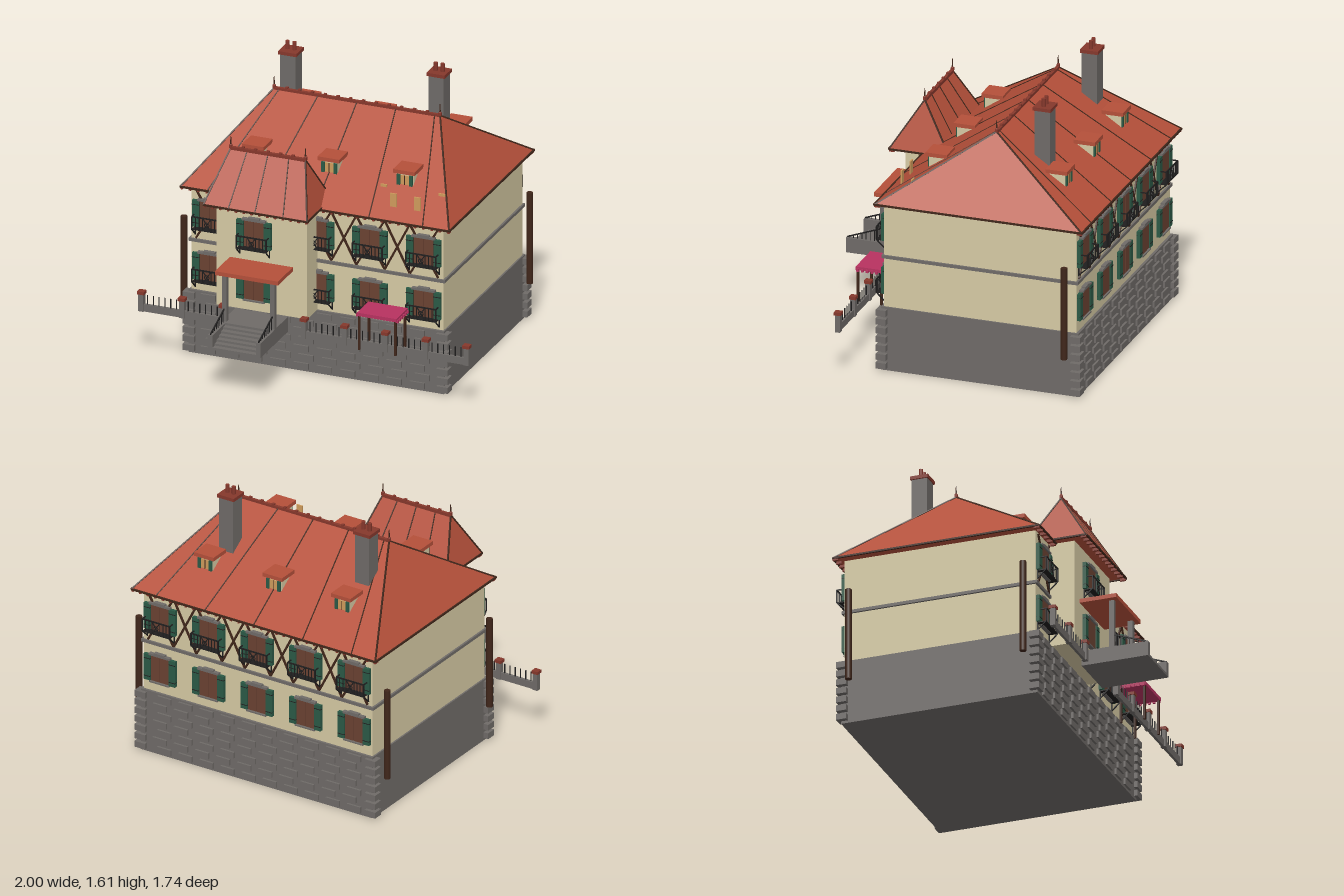
import * as THREE from 'three';
import { ConvexGeometry } from 'three/addons/geometries/ConvexGeometry.js';

const paint = (name, color) => {
  const m = new THREE.MeshStandardMaterial({ color });
  m.name = name;
  return m;
};
const RED = paint('roof red', 0xb5503a), CREAM = paint('cream plaster', 0xd6caa4), GREY = paint('grey stone', 0x6f6b68),
  GREEN = paint('shutter green', 0x2b5a46), TIMBER = paint('dark timber', 0x40261a), PANE = paint('brown window', 0x6b4232),
  IRON = paint('black iron', 0x1f1e1e), PINK = paint('pink cloth', 0xb83260), TAN = paint('tan', 0xd09c5c),
  BRICK = paint('dark red', 0x86382c);

const V = (x, y, z) => new THREE.Vector3(x, y, z);
const UP = V(0, 1, 0);

function add(parent, name, geo, mat, x = 0, y = 0, z = 0) {
  const m = new THREE.Mesh(geo, mat);
  m.name = name;
  m.position.set(x, y, z);
  parent.add(m);
  return m;
}
// Box given by its ranges
function box(parent, name, mat, x0, x1, y0, y1, z0, z1) {
  return add(parent, name, new THREE.BoxGeometry(x1 - x0, y1 - y0, z1 - z0), mat, (x0 + x1) / 2, (y0 + y1) / 2, (z0 + z1) / 2);
}
// Square bar between two points
function bar(parent, name, mat, a, b, w, d = w) {
  const dir = b.clone().sub(a), mid = a.clone().add(b).multiplyScalar(0.5);
  const m = add(parent, name, new THREE.BoxGeometry(w, dir.length(), d), mat, mid.x, mid.y, mid.z);
  m.quaternion.setFromUnitVectors(UP, dir.normalize());
}
function group(parent, name, x = 0, y = 0, z = 0) {
  const g = new THREE.Group();
  g.name = name;
  g.position.set(x, y, z);
  parent.add(g);
  return g;
}

// Hipped roof with seams, ridge knobs, finials and eave blocks
function hipRoof(parent, name, e, r, seams) {
  const g = group(parent, name);
  const corners = [[e.x0, e.z0], [e.x1, e.z0], [e.x1, e.z1], [e.x0, e.z1]].map(([x, z]) => V(x, e.y, z));
  const ends = [V(r.x0, r.y, r.z), V(r.x1, r.y, r.z)];
  add(g, 'roofSlopes', new ConvexGeometry([...corners, ...ends]), RED);
  corners.forEach((c, i) => {
    bar(g, 'hipSeam', TIMBER, c, ends[i === 0 || i === 3 ? 0 : 1], 0.008);
    bar(g, 'eaveTrim', TIMBER, c, corners[(i + 1) % 4], 0.01);
  });
  for (const [xe, xr] of seams) for (const z of [e.z0, e.z1])
    bar(g, 'roofSeam', TIMBER, V(xe, e.y, z), V(xr, r.y, r.z), 0.006);
  bar(g, 'ridge', BRICK, ends[0], ends[1], 0.018);
  const knobs = Math.round((r.x1 - r.x0) / 0.077);
  for (let i = 0; i <= knobs; i++)
    box(g, 'ridgeKnob', BRICK, ...[-0.008, 0.008].map(d => r.x0 + (r.x1 - r.x0) * i / knobs + d), r.y, r.y + 0.018, r.z - 0.008, r.z + 0.008);
  for (const p of ends) {
    add(g, 'finial', new THREE.CylinderGeometry(0.002, 0.006, 0.07, 6), TIMBER, p.x, p.y + 0.035, p.z);
    add(g, 'finialBall', new THREE.SphereGeometry(0.009, 8, 6), BRICK, p.x, p.y + 0.016, p.z);
  }
  const n = Math.round((e.x1 - e.x0) / 0.05);
  for (let i = 0; i <= n; i++) for (const [z, s] of [[e.z0, 1], [e.z1, -1]]) {
    const x = e.x0 + 0.006 + (e.x1 - e.x0 - 0.012) * i / n;
    box(g, 'eaveBlock', BRICK, x - 0.006, x + 0.006, e.y - 0.015, e.y, z + s * 0.016 - 0.016, z + s * 0.016 + 0.016);
  }
}

// Shuttered window facing +z, centred on its origin
function shutteredWindow(parent, x, y, z) {
  const g = group(parent, 'window', x, y, z);
  box(g, 'windowFrame', TIMBER, -0.064, 0.064, -0.084, 0.084, 0, 0.01);
  for (const s of [-1, 1]) {
    box(g, 'windowPane', PANE, s * 0.03 - 0.028, s * 0.03 + 0.028, -0.078, 0.078, 0, 0.015);
    box(g, 'shutter', GREEN, s * 0.083 - 0.021, s * 0.083 + 0.021, -0.08, 0.08, 0, 0.02);
    for (const k of [-1, 1]) box(g, 'shutterBatten', IRON, s * 0.083 - 0.021, s * 0.083 + 0.021, k * 0.055 - 0.002, k * 0.055 + 0.002, 0, 0.022);
  }
  box(g, 'lintel', GREY, -0.07, 0.07, 0.08, 0.092, 0, 0.024);
  box(g, 'keystone', GREY, -0.035, 0.035, 0.09, 0.1, 0, 0.024);
  box(g, 'sill', GREY, -0.065, 0.065, -0.088, -0.08, 0, 0.024);
  return g;
}

// Iron balcony added to a window group
function balcony(win) {
  const g = group(win, 'balcony'), w = 0.09, d = 0.054, lo = -0.082, hi = -0.005;
  box(g, 'balconyFloor', IRON, -w, w, lo - 0.003, lo + 0.003, 0, d);
  for (const s of [-1, 1]) {
    bar(g, 'sideRail', IRON, V(s * w, hi, 0), V(s * w, hi, d), 0.006);
    bar(g, 'bracket', IRON, V(s * w, lo, d), V(s * w, lo - 0.05, 0), 0.006);
    bar(g, 'bracketFoot', IRON, V(s * w, lo, 0.004), V(s * w, lo - 0.05, 0.004), 0.006);
    bar(g, 'scroll', IRON, V(s * 0.025, lo, d), V(-s * 0.025, hi, d), 0.005);
  }
  bar(g, 'topRail', IRON, V(-w, hi, d), V(w, hi, d), 0.007);
  for (const x of [-w, -0.068, -0.047, -0.026, 0.026, 0.047, 0.068, w])
    bar(g, 'baluster', IRON, V(x, lo, d), V(x, hi, d), Math.abs(x) === w ? 0.007 : 0.004);
  add(g, 'rosette', new THREE.TorusGeometry(0.014, 0.003, 4, 10), IRON, 0, (lo + hi) / 2, d);
}

function dormer(parent, x, z, turn) {
  const g = group(parent, 'dormer', x, 0, z);
  g.rotation.y = turn;
  box(g, 'dormerBody', CREAM, -0.05, 0.05, 1.08, 1.212, -0.06, 0.045);
  box(g, 'dormerRoof', RED, -0.065, 0.065, 1.212, 1.235, -0.065, 0.062);
  box(g, 'dormerWindow', TAN, -0.026, 0.026, 1.145, 1.2, 0.045, 0.05);
  box(g, 'dormerMullion', TIMBER, -0.002, 0.002, 1.145, 1.2, 0.045, 0.053);
  for (const s of [-1, 1]) box(g, 'dormerShutter', GREEN, s * 0.037 - 0.01, s * 0.037 + 0.01, 1.14, 1.203, 0.045, 0.054);
}

export function createModel() {
  const house = new THREE.Group();
  house.name = 'house';

  // Stone base with corner blocks and raised stones front and back
  box(house, 'foundation', GREY, -0.77, 0.77, 0, 0.38, -0.835, 0.335);
  const base = group(house, 'baseStones');
  for (let row = 0; row < 7; row++) {
    const y = 0.015 + row * 0.053, odd = row % 2;
    for (const [z, s] of [[0.335, 1], [-0.835, -1]]) {
      for (const sx of [-1, 1])
        box(base, 'cornerStone', GREY, sx * 0.765 - 0.035, sx * 0.765 + 0.035, y, y + 0.036, z - s * 0.01 - 0.03, z - s * 0.01 + 0.03);
      for (let i = 0; i < 10; i++) {
        const x = -0.65 + i * 0.14 + odd * 0.03;
        box(base, 'wallStone', GREY, x - 0.045, x + 0.045, y, y + 0.036, z - 0.012, z + 0.012);
      }
    }
  }

  // Walls, projecting bay and belt course
  box(house, 'walls', CREAM, -0.76, 0.76, 0.38, 1.0, -0.82, 0.32);
  box(house, 'bayWalls', CREAM, -0.545, 0, 0.38, 1.005, 0.3, 0.47);
  box(house, 'beltFront', GREY, 0, 0.77, 0.672, 0.69, 0.31, 0.332);
  box(house, 'beltFrontLeft', GREY, -0.77, -0.545, 0.672, 0.69, 0.31, 0.332);
  box(house, 'beltBack', GREY, -0.77, 0.77, 0.672, 0.69, -0.832, -0.81);
  for (const s of [-1, 1]) box(house, 'beltSide', GREY, s * 0.765 - 0.007, s * 0.765 + 0.007, 0.672, 0.69, -0.83, 0.33);

  // Roofs
  const seams = [-2, -1, 0, 1, 2].map(i => [i * 0.325, i * 0.234]);
  hipRoof(house, 'mainRoof', { x0: -0.81, x1: 0.81, z0: -0.87, z1: 0.36, y: 1.005 }, { x0: -0.5, x1: 0.5, y: 1.41, z: -0.253 }, seams);
  hipRoof(house, 'bayRoof', { x0: -0.59, x1: 0.035, z0: 0.195, z1: 0.555, y: 1.01 }, { x0: -0.5, x1: -0.05, y: 1.3, z: 0.373 },
    [[-0.44, -0.4], [-0.28, -0.275], [-0.11, -0.15]]);
  for (const x of [-0.455, 0, 0.455]) {
    dormer(house, x, 0.1, 0);
    dormer(house, x, -0.615, Math.PI);
  }
  for (const [x, z] of [[0.34, 0.175], [0.44, 0.275], [0.585, 0.275], [0.69, 0.175]])
    box(house, 'roofHatch', TAN, x - 0.019, x + 0.019, 1.06, 1.14, z - 0.004, z + 0.004);

  // Chimneys with paired pots
  for (const [x, z] of [[-0.485, -0.46], [0.392, -0.5]]) {
    const g = group(house, 'chimney', x, 0, z);
    box(g, 'chimneyShaft', GREY, -0.046, 0.046, 1.1, 1.55, -0.046, 0.046);
    box(g, 'chimneyCap', BRICK, -0.055, 0.055, 1.545, 1.565, -0.053, 0.053);
    for (const s of [-1, 1]) add(g, 'chimneyPot', new THREE.CylinderGeometry(0.012, 0.012, 0.05, 10), BRICK, s * 0.021, 1.588, 0);
  }

  // Windows, balconies and timber braces
  const front = group(house, 'frontWindows', 0, 0, 0.32);
  const back = group(house, 'backWindows', 0, 0, -0.82);
  back.rotation.y = Math.PI;
  const columns = [-0.645, -0.322, 0, 0.322, 0.645];
  for (const x of columns) {
    balcony(shutteredWindow(back, x, 0.847, 0));
    shutteredWindow(back, x, 0.528, 0);
    if (x === -0.322) continue;
    for (const y of [0.847, 0.528]) balcony(shutteredWindow(front, x, y, 0));
  }
  balcony(shutteredWindow(front, -0.315, 0.847, 0.15));
  shutteredWindow(front, -0.315, 0.528, 0.15);
  const braces = (wall, x, w) => {
    for (const s of [-1, 1]) bar(wall, 'brace', TIMBER, V(x - s * w, 0.695, 0.003), V(x + s * w, 0.99, 0.003), 0.011, 0.012);
  };
  for (const x of columns) {
    braces(back, x, 0.085);
    if (x !== -0.322) braces(front, x, 0.085);
  }
  for (const x of [-0.483, -0.161, 0.161, 0.483]) {
    braces(back, x, 0.075);
    if (x > 0) braces(front, x, 0.075);
  }

  // Porch and steps
  const porch = group(house, 'porch');
  box(porch, 'porchRoof', RED, -0.465, -0.085, 0.658, 0.682, 0.47, 0.687);
  for (const x of [-0.42, -0.13]) {
    box(porch, 'porchPost', GREY, x - 0.014, x + 0.014, 0.37, 0.66, 0.632, 0.662);
    box(porch, 'stairCheek', GREY, x - 0.014, x + 0.014, 0.285, 0.372, 0.67, 0.865);
    bar(porch, 'handrail', IRON, V(x, 0.375, 0.86), V(x, 0.45, 0.66), 0.007);
    for (let i = 0; i < 8; i++) bar(porch, 'railPost', IRON, V(x, 0.37, 0.85 - i * 0.025), V(x, 0.38 + i * 0.0094, 0.85 - i * 0.025), 0.004);
  }
  box(porch, 'landing', GREY, -0.434, -0.116, 0.285, 0.375, 0.47, 0.68);
  for (let i = 0; i < 6; i++) box(porch, 'step', GREY, -0.41, -0.14, 0.285, 0.362 - i * 0.0125, 0.67, 0.71 + i * 0.031);

  // Garden walls with pillars and pickets
  const fence = group(house, 'fence');
  for (const x of [-0.98, -0.735, -0.49, 0, 0.245, 0.49, 0.735, 0.98]) {
    box(fence, 'pillar', GREY, x - 0.015, x + 0.015, 0.285, 0.39, 0.495, 0.525);
    box(fence, 'pillarCap', BRICK, x - 0.02, x + 0.02, 0.388, 0.406, 0.49, 0.53);
    if (x === -0.49 || x === 0.98) continue;
    box(fence, 'gardenWall', GREY, x, x + 0.245, 0.285, 0.328, 0.502, 0.518);
    for (let i = 1; i < 7; i++) bar(fence, 'picket', IRON, V(x + i * 0.035, 0.32, 0.51), V(x + i * 0.035, 0.385, 0.51), 0.005);
  }

  // Cloth canopy on four posts
  const canopy = group(house, 'canopy');
  box(canopy, 'canopyTop', PINK, 0.336, 0.574, 0.492, 0.512, 0.388, 0.555);
  for (const x of [0.346, 0.564]) for (const z of [0.405, 0.545])
    box(canopy, 'canopyPost', TIMBER, x - 0.006, x + 0.006, 0.285, 0.495, z - 0.006, z + 0.006);
  for (let i = 0; i < 6; i++) for (const x of [0.334, 0.576])
    box(canopy, 'canopyTab', PINK, x - 0.006, x + 0.006, 0.485, 0.502, 0.395 + i * 0.028, 0.409 + i * 0.028);

  // Side poles
  for (const [x, z] of [[-0.825, 0.27], [-0.825, -0.77], [0.825, -0.77]])
    add(house, 'sidePole', new THREE.CylinderGeometry(0.019, 0.019, 0.55, 10), TIMBER, x, 0.515, z);

  return house;
}
